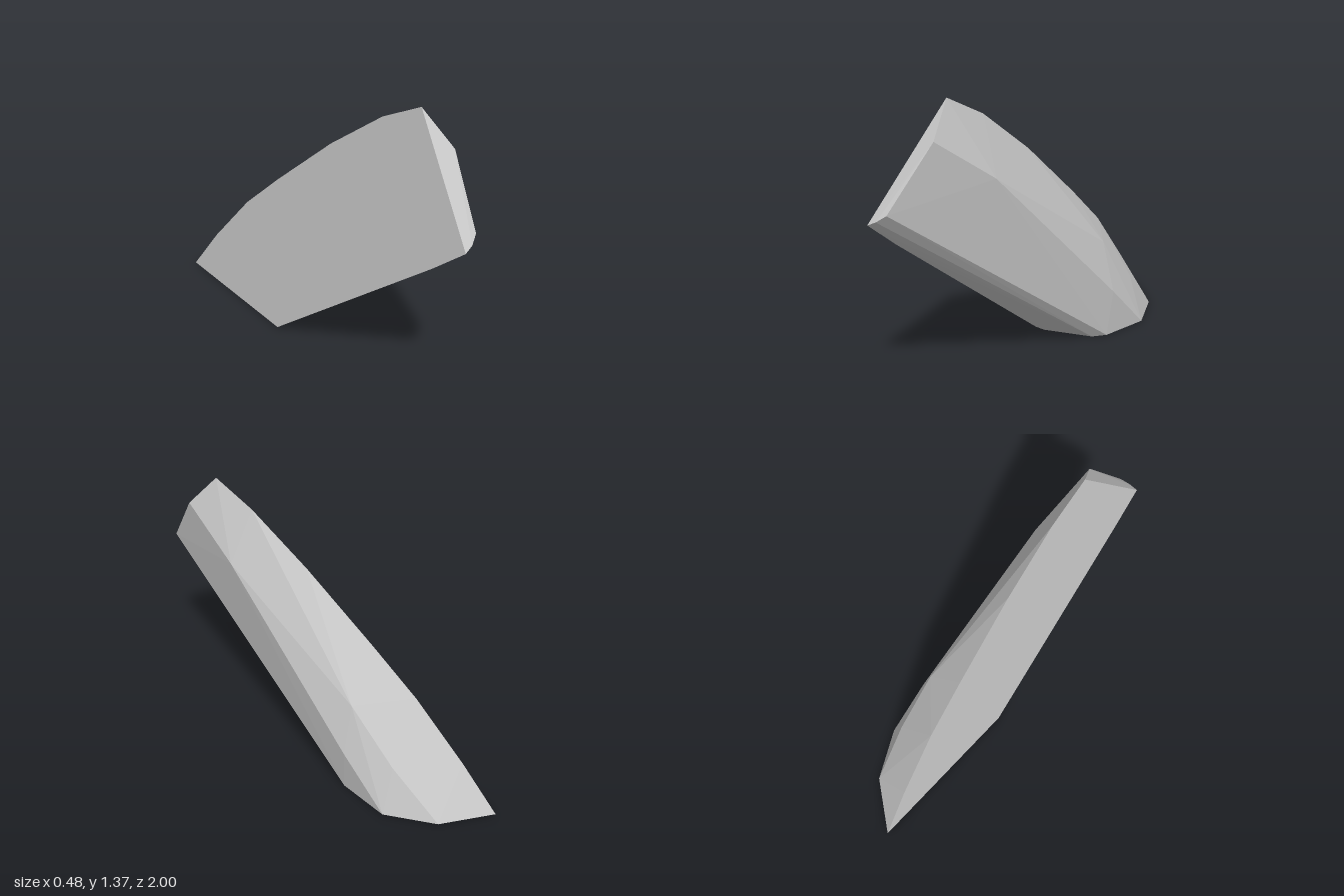
import * as THREE from 'three';
import { ConvexGeometry } from 'three/addons/geometries/ConvexGeometry.js';

// The -x side is one flat cut: x follows from height and depth.
const onCut = (y, z) => [-0.06 - 0.1637 * (z + 1) + 0.167 * y, y, z];

export function createModel() {
  const group = new THREE.Group();
  const stone = new THREE.MeshStandardMaterial({ color: 0xc7c7c7 });
  stone.name = 'paleStone';

  // curved back edge of the flat cut, from the ground to the tip
  const spine = [[0, -1], [0.25, -0.8], [0.54, -0.53], [0.75, -0.28],
    [1.05, 0.1], [1.265, 0.42], [1.365, 0.64]].map(([y, z]) => onCut(y, z));
  // front lower edge of the flat cut
  const frontEdge = [[0, -0.15], [0.2, 0.11], [0.75, 0.84], [0.88, 1]]
    .map(([y, z]) => onCut(y, z));
  // ground outline on the rounded side
  const base = [[0.15, 0, -0.79], [0.239, 0, -0.53], [0.17, 0, -0.27],
    [0.115, 0, -0.21], [-0.14, 0, -0.143]];
  // bulging facets of the rounded side
  const flank = [[0.16, 0.25, -0.53], [0.135, 0.51, -0.28], [0.2, 0.25, -0.28], [0.03, 1, 0.48]];
  // slanted end face
  const end = [[-0.055, 1.21, 0.785], [-0.15, 0.93, 0.98], [-0.195, 0.9, 0.997]];

  const points = [...spine, ...frontEdge, ...base, ...flank, ...end]
    .map((p) => new THREE.Vector3(...p));
  const shard = new THREE.Mesh(new ConvexGeometry(points), stone);
  shard.name = 'leaningShard';
  group.add(shard);
  return group;
}
